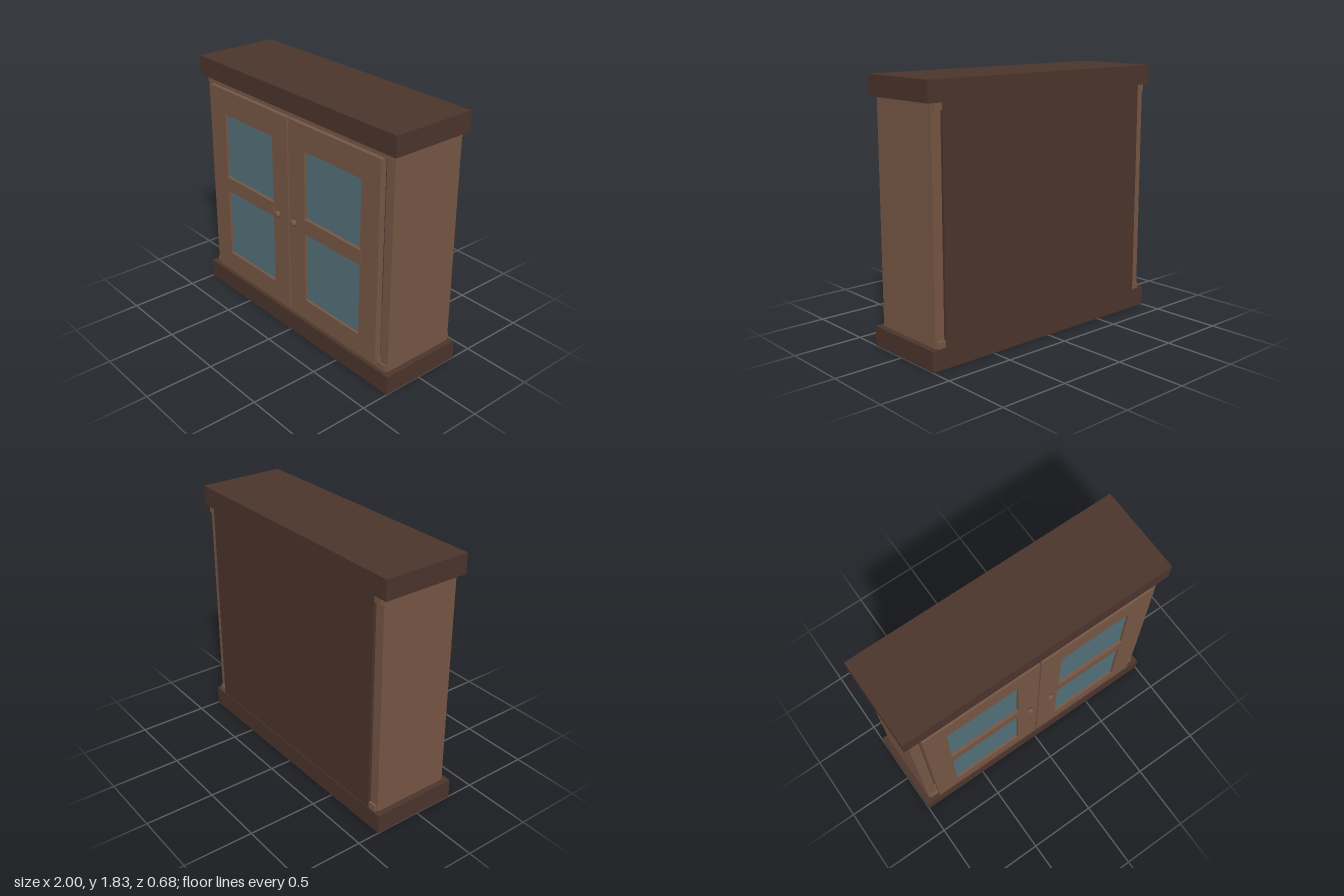
import * as THREE from 'three';

const mat = (name, color, side = THREE.FrontSide) => {
  const m = new THREE.MeshStandardMaterial({ color, side });
  m.name = name;
  return m;
};

export function createModel() {
  const wood = mat('brown wood', 0x775745);
  const dark = mat('dark wood', 0x4c352d);
  const glass = mat('blue glass', 0x54717a);
  const model = new THREE.Group();
  model.name = 'cabinet';

  // Box given by its low and high corners
  const box = (parent, name, material, [x0, y0, z0], [x1, y1, z1]) => {
    const mesh = new THREE.Mesh(new THREE.BoxGeometry(x1 - x0, y1 - y0, z1 - z0), material);
    mesh.position.set((x0 + x1) / 2, (y0 + y1) / 2, (z0 + z1) / 2);
    mesh.name = name;
    parent.add(mesh);
  };

  // Plinth, top and back
  box(model, 'base', dark, [-1, 0, -0.34], [1, 0.14, 0.295]);
  box(model, 'top', dark, [-1, 1.685, -0.34], [1, 1.825, 0.295]);
  box(model, 'backPanel', dark, [-0.89, 0.14, -0.335], [0.89, 1.685, -0.3]);

  // Side walls
  for (const s of [-1, 1]) {
    const xs = [s * 0.89, s * 0.96].sort((a, b) => a - b);
    box(model, 'sideWall', wood, [xs[0], 0.14, -0.315], [xs[1], 1.685, 0.255]);
    // Rail ends showing beside the back panel
    const xe = [s * 0.89, s * 0.95].sort((a, b) => a - b);
    for (const y of [0.14, 1.64])
      box(model, 'backRailEnd', wood, [xe[0], y, -0.333], [xe[1], y + 0.045, -0.31]);
  }

  // Front rails above and below the doors
  for (const y of [0.14, 1.64])
    box(model, 'frontRail', wood, [-0.95, y, 0.2], [0.95, y + 0.045, 0.267]);

  // Door frame: four mitred boards around the opening
  const outer = [[0.006, 0.188], [0.882, 0.188], [0.882, 1.642], [0.006, 1.642]];
  const inner = [[0.17, 0.33], [0.717, 0.33], [0.717, 1.46], [0.17, 1.46]];
  const knobProfile = [[0, 0], [0.013, 0], [0.021, 0.006], [0.024, 0.014],
    [0.024, 0.022], [0.02, 0.031], [0.012, 0.035], [0, 0.036]]
    .map(([x, y]) => new THREE.Vector2(x, y));

  for (const s of [-1, 1]) {
    const door = new THREE.Group();
    door.name = s > 0 ? 'leftDoor' : 'rightDoor';
    model.add(door);
    for (let i = 0; i < 4; i++) {
      const j = (i + 1) % 4;
      const pts = [outer[i], outer[j], inner[j], inner[i]]
        .map(([x, y]) => new THREE.Vector2(s * x, y));
      const geo = new THREE.ExtrudeGeometry(new THREE.Shape(pts), { depth: 0.045, bevelEnabled: false });
      geo.translate(0, 0, 0.252);
      const board = new THREE.Mesh(geo, wood);
      board.name = 'mitredFrameBoard';
      door.add(board);
    }
    const span = (a, b) => [s * a, s * b].sort((p, q) => p - q);
    const g = span(0.16, 0.73), r = span(0.165, 0.724);
    box(door, 'glassPane', glass, [g[0], 0.32, 0.27], [g[1], 1.47, 0.278]);
    box(door, 'middleRail', wood, [r[0], 0.86, 0.262], [r[1], 0.968, 0.302]);

    // Rounded knob with a thin pin
    const knob = new THREE.Mesh(new THREE.LatheGeometry(knobProfile, 20), wood);
    knob.rotation.x = Math.PI / 2;
    knob.position.set(s * 0.087, 0.915, 0.308);
    knob.name = 'knob';
    door.add(knob);
  }
  return model;
}
